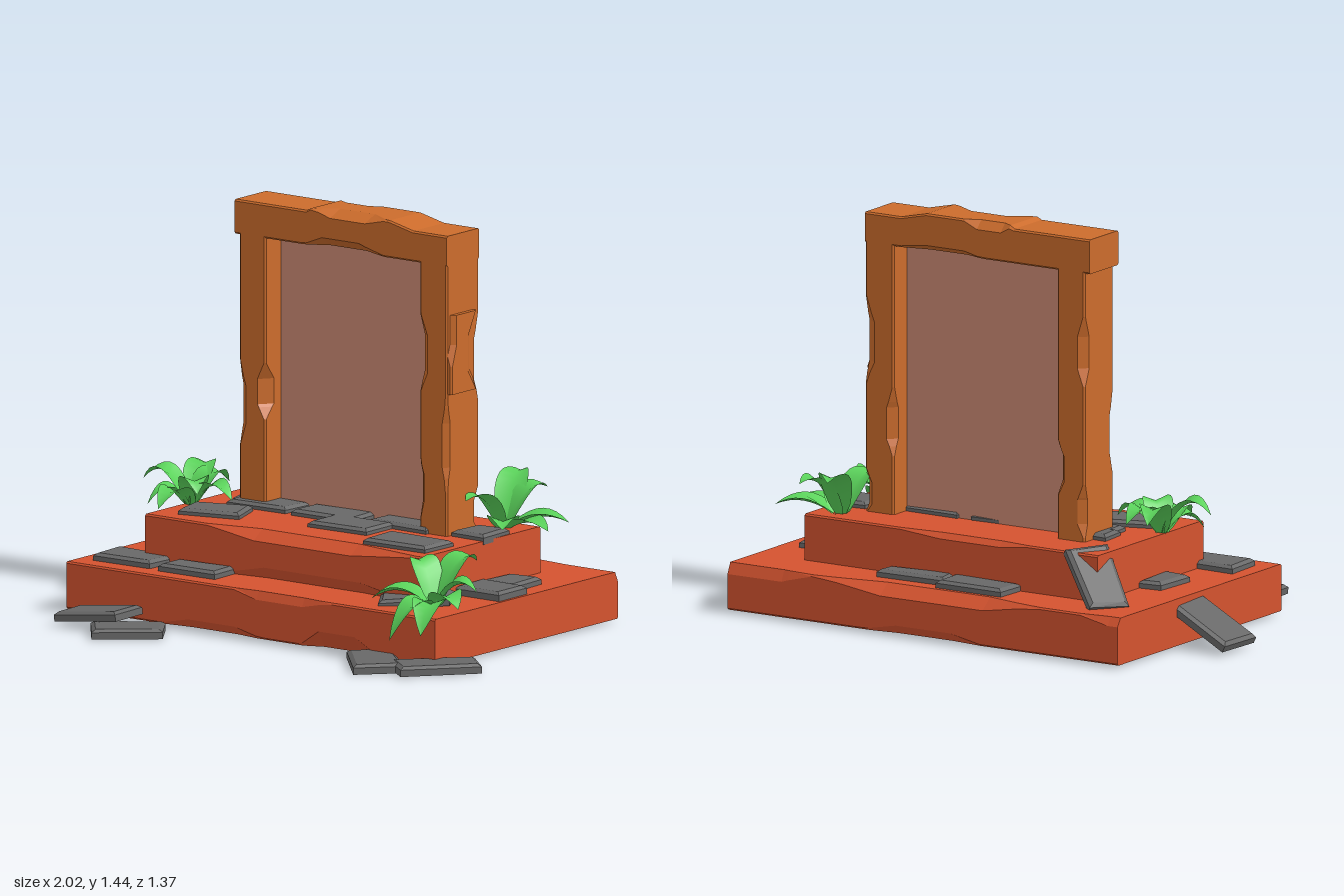
import * as THREE from 'three';

const mat = (color, extra = {}) => new THREE.MeshStandardMaterial({ color, ...extra });
const MATS = {
  clay: mat(0xd4532f, { flatShading: true }),
  wood: mat(0xcc6c2c, { flatShading: true }),
  panel: mat(0xcc8b74),
  slate: mat(0x686868, { flatShading: true }),
  leaf: mat(0x5ad25a, { side: THREE.DoubleSide }),
};

function fromArrays(pos, index) {
  const g = new THREE.BufferGeometry();
  g.setAttribute('position', new THREE.Float32BufferAttribute(pos, 3));
  g.setIndex(index);
  g.computeVertexNormals();
  return g;
}

function add(parent, name, geometry, material) {
  const m = new THREE.Mesh(geometry, material);
  m.name = name;
  parent.add(m);
  return m;
}

// Beam along x whose four long edges carry chips: [edge, from, to, depthY, depthZ].
// Edges: 0 front bottom, 1 back bottom, 2 back top, 3 front top.
function chippedBeam([x0, x1], [y0, y1], [z0, z1], chips = [], lift = () => 0) {
  const min = 0.006;
  const stations = new Set([x0, x1]);
  for (const [, a, b] of chips)
    for (const f of [0, 0.25, 0.7, 1]) stations.add(THREE.MathUtils.clamp(a + (b - a) * f, x0, x1));
  const xs = [...stations].sort((a, b) => a - b);
  const depth = (edge, x) => {
    let cy = min, cz = min;
    for (const [e, a, b, dy, dz] of chips) {
      if (e !== edge || x <= a || x >= b) continue;
      const t = (x - a) / (b - a);
      const k = Math.min(1, t / 0.25, (1 - t) / 0.3);
      cy = Math.max(cy, dy * k);
      cz = Math.max(cz, dz * k);
    }
    return [cy, cz];
  };
  const pos = [], index = [];
  xs.forEach((x, s) => {
    const [a, b, c, d] = [0, 1, 2, 3].map((e) => depth(e, x));
    const top = y1 + lift(x);
    const ring = [
      [y0 + a[0], z1], [y0, z1 - a[1]], [y0, z0 + b[1]], [y0 + b[0], z0],
      [top - c[0], z0], [top, z0 + c[1]], [top, z1 - d[1]], [top - d[0], z1],
    ];
    for (const [y, z] of ring) pos.push(x, y, z);
    if (s === 0) return;
    for (let k = 0; k < 8; k++) {
      const p = (s - 1) * 8, q = s * 8, n = (k + 1) % 8;
      index.push(p + k, p + n, q + n, p + k, q + n, q + k);
    }
  });
  const last = (xs.length - 1) * 8;
  for (let k = 1; k < 7; k++) index.push(0, k + 1, k, last, last + k, last + k + 1);
  return fromArrays(pos, index);
}

// Upright beam: the same beam turned so that its length runs along y
function chippedPost(parent, name, [x0, x1], ys, zs, chips) {
  const m = add(parent, name, chippedBeam(ys, [-x1, -x0], zs, chips), MATS.wood);
  m.rotation.z = Math.PI / 2;
}

// Slate slab with a bevelled, slightly uneven top
function slab(parent, i, [x, y, z, w, d, yaw = 0, tilt = 0, roll = 0]) {
  const h = 0.034;
  const g = new THREE.BoxGeometry(w, h, d, 1, 2, 1);
  const p = g.attributes.position;
  for (let v = 0; v < p.count; v++) {
    const sx = Math.sign(p.getX(v)), sz = Math.sign(p.getZ(v)), py = p.getY(v);
    const skew = 0.006 * Math.sin(i * 2.3 + sx * 1.7 + sz * 0.9);
    const inset = py > 0.01 ? 0.014 : 0;
    p.setXYZ(v, p.getX(v) - sx * inset + skew, Math.abs(py) < 0.01 ? 0.007 : py, p.getZ(v) - sz * inset + skew);
  }
  const m = add(parent, 'slateSlab', g, MATS.slate);
  m.position.set(x, y, z);
  m.rotation.set(roll, yaw, tilt, 'YXZ');
}

// Arching leaf from root to tip with a creased middle
function leaf(root, tip, arch, width) {
  const a = new THREE.Vector3(...root), c = new THREE.Vector3(...tip);
  const b = a.clone().lerp(c, 0.5);
  b.y = Math.max(a.y, c.y) + arch;
  const curve = new THREE.QuadraticBezierCurve3(a, b, c);
  const side = new THREE.Vector3(-(c.z - a.z), 0, c.x - a.x).normalize();
  const pos = [], index = [], n = 9;
  for (let i = 0; i <= n; i++) {
    const t = i / n, p = curve.getPoint(t);
    const half = (width / 2) * (0.25 * (1 - t) + Math.pow(Math.sin(Math.PI * Math.pow(t, 0.85)), 0.8));
    for (const s of [-1, 0, 1])
      pos.push(p.x + side.x * half * s, p.y - (s ? 0 : half * 0.4), p.z + side.z * half * s);
    if (i === 0) continue;
    for (const k of [0, 1]) {
      const q = (i - 1) * 3 + k;
      index.push(q, q + 1, q + 4, q, q + 4, q + 3);
    }
  }
  return fromArrays(pos, index);
}

export function createModel() {
  const model = new THREE.Group();
  model.name = 'stoneDoorway';
  const group = (name) => {
    const g = new THREE.Group();
    g.name = name;
    model.add(g);
    return g;
  };

  // Two stepped platforms
  add(model, 'lowerStep', chippedBeam([-0.775, 0.85], [0.012, 0.18], [-0.685, 0.36], [
    [0, -0.35, 0.1, 0.03, 0.02], [0, 0.25, 0.6, 0.06, 0.035],
    [3, -0.05, 0.4, 0.03, 0.015], [2, -0.45, 0.5, 0.04, 0.05], [2, 0.5, 1.0, 0.04, 0.018],
    [2, -1.0, -0.62, 0.03, 0.02], [1, -0.2, 0.3, 0.03, 0.02],
  ]), MATS.clay);
  add(model, 'upperStep', chippedBeam([-0.57, 0.65], [0.17, 0.345], [-0.5, 0.175], [
    [3, -0.33, 0.62, 0.035, 0.05], [0, -0.28, 0.65, 0.05, 0.03],
    [2, -0.3, 0.25, 0.02, 0.02],
  ]), MATS.clay);

  // Door frame
  const frame = group('doorFrame');
  const depth = [-0.345, -0.16];
  chippedPost(frame, 'rightPost', [-0.415, -0.3], [0.34, 1.32], depth, [
    [0, 0.66, 0.86, 0.035, 0.05], [3, 0.56, 0.86, 0.03, 0.025],
    [2, 0.9, 1.15, 0.03, 0.03], [1, 0.5, 0.7, 0.03, 0.04], [2, 0.36, 0.55, 0.03, 0.02],
  ]);
  chippedPost(frame, 'leftPost', [0.38, 0.5], [0.34, 1.32], depth, [
    [3, 0.84, 1.14, 0.035, 0.03], [3, 0.4, 0.62, 0.02, 0.02], [0, 0.5, 0.85, 0.02, 0.02],
    [1, 0.8, 1.12, 0.04, 0.03], [1, 0.33, 0.5, 0.03, 0.03], [2, 0.55, 0.8, 0.03, 0.03],
  ]);
  chippedPost(frame, 'postBulge', [0.47, 0.517], [0.85, 1.13], [-0.31, -0.165], [
    [0, 0.95, 1.25, 0.03, 0.03], [1, 0.85, 1.13, 0.03, 0.05],
  ]);
  const crest = (x) => (x < -0.1 ? 0.008 : x < 0.25 ? 0.018 : -0.006);
  add(frame, 'lintel', chippedBeam([-0.435, 0.5], [1.305, 1.42], depth, [
    [0, -0.14, 0.22, 0.035, 0.05], [3, -0.1, 0.24, 0.025, 0.06],
    [2, -0.12, 0.1, 0.03, 0.03], [1, 0.0, 0.35, 0.02, 0.03],
  ], crest), MATS.wood);

  // Door leaf
  add(model, 'doorPanel', new THREE.BoxGeometry(0.69, 0.98, 0.012), MATS.panel).position.set(0.04, 0.83, -0.255);

  // Slabs: x, y, z, width, depth, yaw, tilt, roll
  const slabs = group('slateSlabs');
  [
    // lying on the ground
    [-0.53, 0.05, 0.495, 0.26, 0.165, 0.05, 0.12],
    [-0.365, 0.018, 0.54, 0.26, 0.16, 0.63],
    [0.645, 0.018, 0.44, 0.27, 0.17, -0.8],
    [0.875, 0.02, 0.38, 0.29, 0.15, 0.87],
    // leaning on the steps
    [-0.85, 0.1, -0.22, 0.31, 0.18, -0.08, 0.47],
    [-0.57, 0.265, -0.5, 0.27, 0.155, -0.59, 0.67],
    // on the lower step
    [-0.59, 0.19, 0.21, 0.25, 0.15],
    [-0.3, 0.19, 0.23, 0.25, 0.12],
    [-0.11, 0.19, -0.555, 0.27, 0.13],
    [0.16, 0.19, -0.535, 0.27, 0.09, 0.05],
    [0.71, 0.19, -0.26, 0.14, 0.16],
    [0.74, 0.195, -0.1, 0.19, 0.165, 0.03],
    [0.615, 0.19, 0.165, 0.26, 0.14, 0.55, 0.08],
    [-0.61, 0.19, -0.14, 0.1, 0.18],
    // on the upper step
    [0.48, 0.35, 0.035, 0.27, 0.165, 0.02],
    [0.14, 0.35, -0.08, 0.26, 0.16],
    [-0.385, 0.35, 0.01, 0.22, 0.15, 0.3],
    [-0.31, 0.35, -0.19, 0.26, 0.14],
    [-0.02, 0.35, -0.19, 0.27, 0.14],
    [0.29, 0.35, -0.21, 0.25, 0.12],
    [-0.43, 0.35, -0.24, 0.07, 0.1],
    [0.58, 0.35, -0.25, 0.14, 0.15],
  ].forEach((s, i) => slab(slabs, i, s));

  // Plants: root, leaf arch, width and leaf tips
  const plants = [
    { root: [-0.55, 0.33, -0.06], arch: 0.15, width: 0.095, tips: [
      [-0.64, 0.42, -0.29], [-0.52, 0.4, -0.24], [-0.36, 0.38, -0.05], [-0.46, 0.4, 0.02],
      [-0.54, 0.36, 0.14], [-0.65, 0.35, 0.06], [-0.73, 0.42, -0.02]] },
    { root: [0.55, 0.33, -0.42], arch: 0.09, width: 0.1, tips: [
      [0.47, 0.5, -0.63], [0.62, 0.47, -0.58], [0.76, 0.37, -0.52],
      [0.77, 0.36, -0.39], [0.66, 0.37, -0.27], [0.52, 0.46, -0.24]] },
    { root: [0.78, 0.2, 0.27], arch: 0.12, width: 0.1, tips: [
      [0.82, 0.34, 0.08], [0.92, 0.26, 0.21], [0.93, 0.22, 0.33], [0.84, 0.13, 0.43],
      [0.71, 0.1, 0.44], [0.57, 0.22, 0.36], [0.65, 0.33, 0.22]] },
  ];
  for (const { root, arch, width, tips } of plants) {
    const plant = group('plant');
    for (const tip of tips) add(plant, 'leaf', leaf(root, tip, arch, width), MATS.leaf);
  }
  return model;
}
